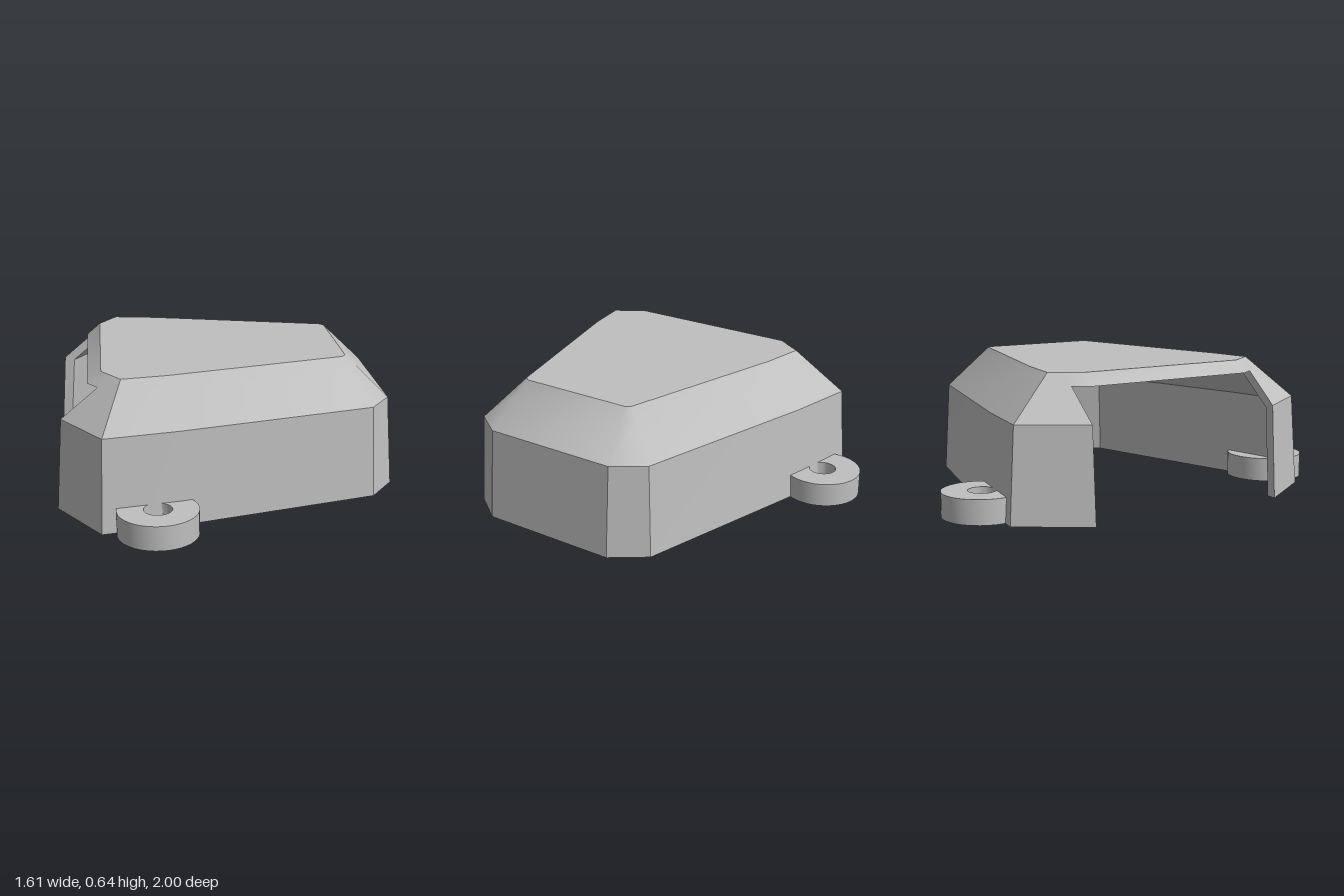
import * as THREE from 'three';
import { toCreasedNormals } from 'three/addons/utils/BufferGeometryUtils.js';

const OPEN_Z = 0.5;    // half width of the open end
const OPEN_Y = 0.585;  // height of the open end
const WALL = 0.04;

// Half outlines as [x, z]: open-end corner, wide corner, slight bend, two nose corners
const BASE = [[-0.851, 0.43], [-0.605, 0.81], [-0.23, 0.74], [0.69, 0.5], [0.808, 0.34]];
const SHOULDER = [[-0.822, 0.43], [-0.592, 0.782], [-0.25, 0.715], [0.675, 0.48], [0.778, 0.335]];
const ROOF = [[-0.587, 0.43], [-0.5, 0.56], [-0.29, 0.525], [0.555, 0.305], [0.575, 0.28]];

const mix = (a, b, t) => a.map((p, i) => [p[0] + (b[i][0] - p[0]) * t, p[1] + (b[i][1] - p[1]) * t]);

// Moves a half outline inward by d with mitred corners
function inset(half, d) {
  const first = half[0], last = half[half.length - 1];
  const path = [[first[0], -first[1]], ...half, [last[0], -last[1]]];
  const normal = (a, b) => {
    const dx = b[0] - a[0], dz = b[1] - a[1], l = Math.hypot(dx, dz);
    return [dz / l, -dx / l];
  };
  return half.map((p, i) => {
    const m = normal(path[i], path[i + 1]), n = normal(path[i + 1], path[i + 2]);
    const k = d / (1 + m[0] * n[0] + m[1] * n[1]);
    return [p[0] + (m[0] + n[0]) * k, p[1] + (m[1] + n[1]) * k];
  });
}

// Full mirrored ring of 12 points, with an extra point where the opening is cut
function ring(half, y) {
  const [f, d] = half;
  const t = (OPEN_Z - f[1]) / (d[1] - f[1]);
  const pts = [f, [f[0] + (d[0] - f[0]) * t, OPEN_Z], ...half.slice(1)];
  const left = pts.map(([x, z]) => [x, y, z]);
  const right = pts.map(([x, z]) => [x, y, -z]).reverse();
  return [...left, ...right];
}

function shellGeometry() {
  const pos = [];
  const tri = (...p) => p.forEach((v) => pos.push(...v));
  const quad = (a, b, c, d) => { tri(a, b, c); tri(a, c, d); };

  const inBase = inset(BASE, WALL), inShoulder = inset(SHOULDER, WALL), inRoof = inset(ROOF, 0.017);
  const outer = [
    ring(BASE, 0), ring(SHOULDER, 0.44),
    ring(mix(SHOULDER, ROOF, (OPEN_Y - 0.44) / 0.2), OPEN_Y), ring(ROOF, 0.64),
  ];
  const inner = [
    ring(inBase, 0), ring(inShoulder, 0.425),
    ring(mix(inShoulder, inRoof, (OPEN_Y - 0.425) / 0.175), OPEN_Y), ring(inRoof, 0.6),
  ];

  for (let i = 0; i < 12; i++) {
    const j = (i + 1) % 12;
    const walled = i >= 1 && i <= 9;
    // outer and inner skins, left out below the lintel at the open end
    for (let k = walled ? 0 : 2; k < 3; k++) {
      quad(outer[k][i], outer[k][j], outer[k + 1][j], outer[k + 1][i]);
      quad(inner[k][j], inner[k][i], inner[k + 1][i], inner[k + 1][j]);
    }
    // bottom rim, or underside of the lintel
    const k = walled ? 0 : 2;
    quad(inner[k][i], inner[k][j], outer[k][j], outer[k][i]);
  }
  // cut ends of the wall on both sides of the opening
  for (let k = 0; k < 2; k++) {
    quad(inner[k][1], outer[k][1], outer[k + 1][1], inner[k + 1][1]);
    quad(outer[k][10], inner[k][10], inner[k + 1][10], outer[k + 1][10]);
  }
  // roof and ceiling
  for (let n = 1; n < 11; n++) {
    const a = (4 + n) % 12, b = (5 + n) % 12;
    tri(outer[3][4], outer[3][a], outer[3][b]);
    tri(inner[3][4], inner[3][b], inner[3][a]);
  }
  const g = new THREE.BufferGeometry();
  g.setAttribute('position', new THREE.Float32BufferAttribute(pos, 3));
  return toCreasedNormals(g, 0.5);
}

export function createModel() {
  const model = new THREE.Group();
  model.name = 'cover';
  const grey = new THREE.MeshStandardMaterial({ color: 0xbfbfbf, side: THREE.DoubleSide });
  grey.name = 'grey';

  const shell = new THREE.Mesh(shellGeometry(), grey);
  shell.name = 'shell';
  model.add(shell);

  // Round screw lugs with a through hole
  const profile = [[0.065, 0], [0.185, 0], [0.185, 0.115], [0.065, 0.115], [0.065, 0]]
    .map(([r, y]) => new THREE.Vector2(r, y));
  const lugGeometry = toCreasedNormals(new THREE.LatheGeometry(profile, 48), 0.5);
  for (const side of [1, -1]) {
    const lug = new THREE.Mesh(lugGeometry, grey);
    lug.name = side > 0 ? 'frontScrewLug' : 'backScrewLug';
    lug.position.set(-0.355, 0, side * 0.815);
    model.add(lug);
  }
  return model;
}
